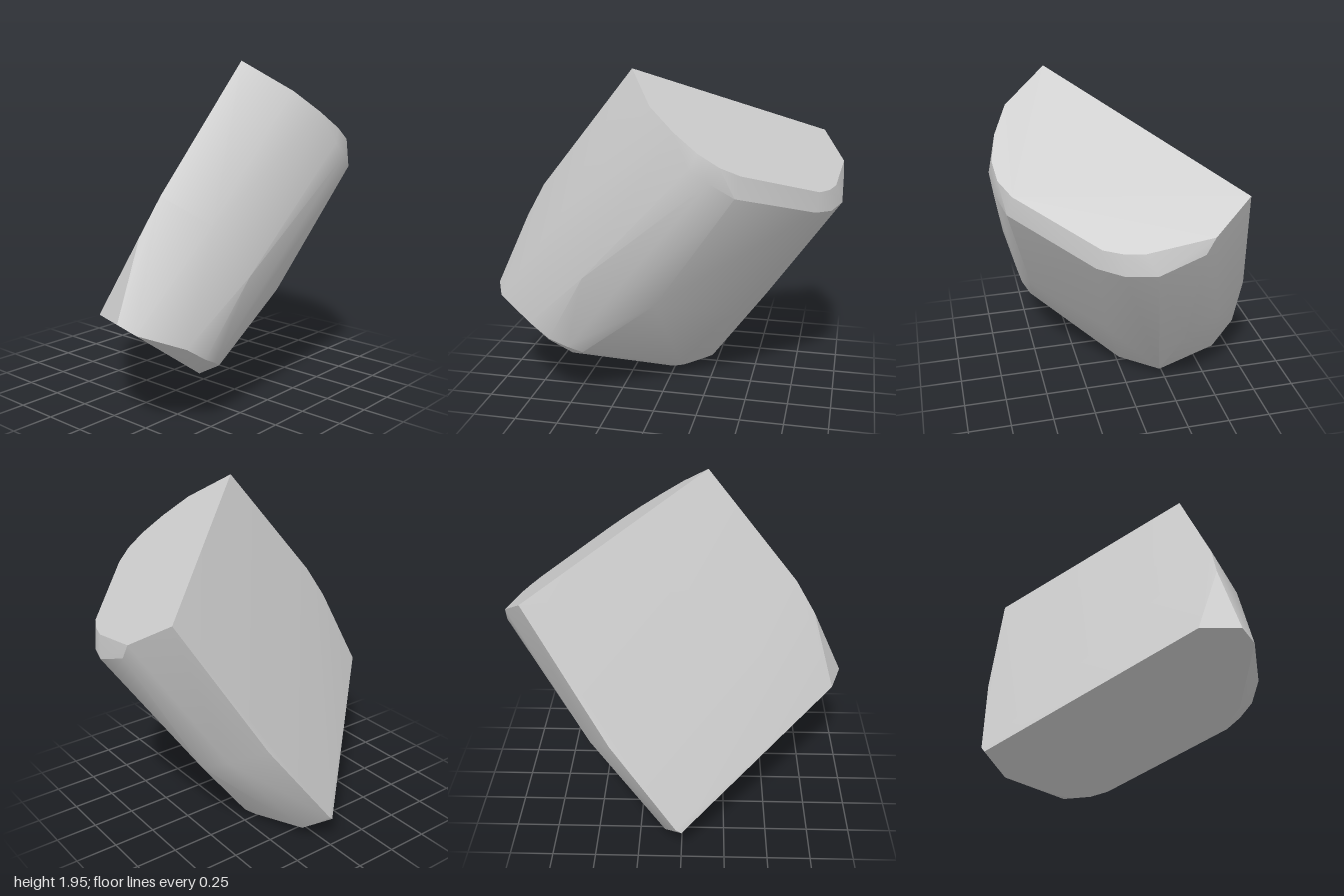
import * as THREE from 'three';
import { ConvexGeometry } from 'three/addons/geometries/ConvexGeometry.js';
import { toCreasedNormals } from 'three/addons/utils/BufferGeometryUtils.js';

// The two flat ends are slanted planes; their rims lie exactly on them.
const onTop = ([x, z]) => [x, 1.95 - 0.246 * (x - 0.39) + 0.673 * (z - 0.13), z];
const onFoot = ([x, y]) => [x, y, 0.99 + 0.3 * (x - 0.3) + 1.43 * (y - 0.65)];

export function createModel() {
  const group = new THREE.Group();

  // flat upper end, (x, z)
  const topRim = [
    [0.39, 0.13], [0.63, -0.02], [0.71, -0.16], [0.745, -0.29], [0.73, -0.4],
    [0.67, -0.5], [0.28, -0.88], [0.18, -0.93], [0.08, -0.96], [-0.27, -0.99], [-0.49, -0.86],
  ].map(onTop);

  // rounded edge just below the upper end
  const shoulder = [
    [0.76, 1.5, -0.25], [0.752, 1.43, -0.35], [0.7, 1.345, -0.475],
    [0.31, 1.19, -0.865], [0.18, 1.17, -0.945], [0.02, 1.18, -0.998], [-0.22, 1.27, -0.995],
  ];

  // slightly bulging waist
  const waist = [
    [0.31, 1.27, 0.68], [0.275, 1.07, 0.8], [0.54, 1.12, 0.534], [0.65, 0.84, 0.36],
    [0.54, 0.67, -0.02], [0.147, 0.51, -0.4], [-0.27, 0.49, -0.56],
    [-0.48, 0.61, -0.53], [-0.67, 0.72, -0.4],
  ];

  // rounded edge just above the lower end
  const heel = [
    [0.53, 0.5, 0.72], [0.55, 0.42, 0.6], [0.53, 0.37, 0.5], [0.489, 0.325, 0.421],
    [0.004, 0.07, -0.067], [-0.22, 0.05, -0.225], [-0.25, 0.012, -0.17], [-0.765, 0.21, -0.03],
  ];

  // flat lower end, (x, y)
  const footRim = [
    [-0.755, 0.18], [0.09, 0.645], [0.3, 0.65], [0.39, 0.6], [0.455, 0.37], [0.42, 0.285],
    [-0.05, 0.03], [-0.13, 0.008], [-0.23, 0], [-0.31, 0.012], [-0.61, 0.08],
  ].map(onFoot);

  const points = [...topRim, ...shoulder, ...waist, ...heel, ...footRim]
    .map((p) => new THREE.Vector3(...p));
  const block = new THREE.Mesh(
    toCreasedNormals(new ConvexGeometry(points), 0.5),
    new THREE.MeshStandardMaterial({ color: 0xcccccc }),
  );
  block.name = 'block';
  group.add(block);
  return group;
}
